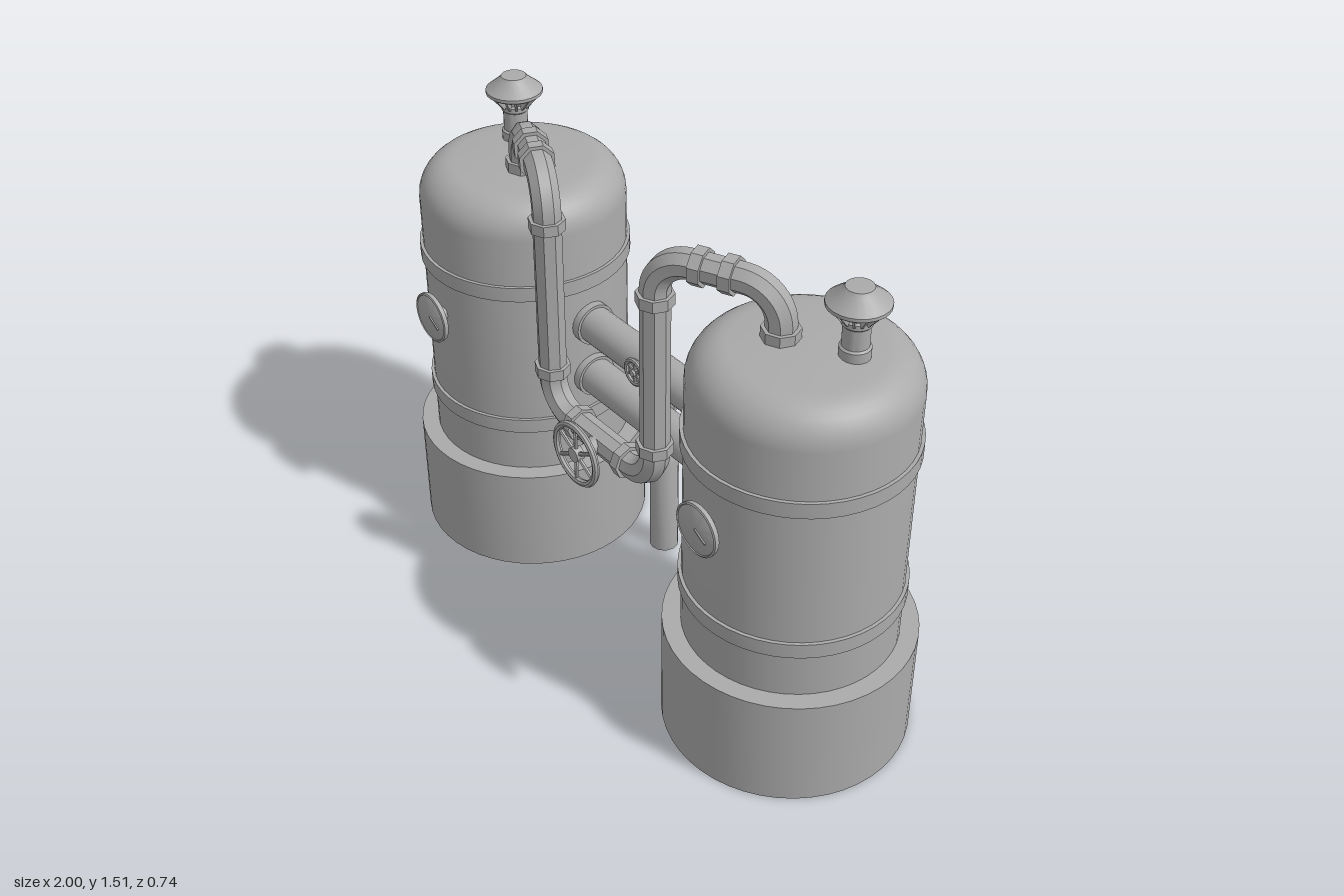
import * as THREE from 'three';
import { toCreasedNormals } from 'three/addons/utils/BufferGeometryUtils.js';

const V = (x, y, z) => new THREE.Vector3(x, y, z);

export function createModel() {
  const model = new THREE.Group();
  model.name = 'twinTankFilter';
  const steel = new THREE.MeshStandardMaterial({ color: 0xaaaaaa, side: THREE.DoubleSide });
  steel.name = 'grey steel';

  function add(name, geo, parent = model) {
    const mesh = new THREE.Mesh(toCreasedNormals(geo, 0.6), steel);
    mesh.name = name;
    parent.add(mesh);
    return mesh;
  }
  function lathe(name, pts, sides, parent = model) {
    return add(name, new THREE.LatheGeometry(pts.map(p => new THREE.Vector2(...p)), sides), parent);
  }
  // Straight cylinder between two points
  function rod(name, a, b, r, sides = 8, parent = model, r2 = r) {
    const dir = b.clone().sub(a);
    const mesh = add(name, new THREE.CylinderGeometry(r2, r, dir.length(), sides), parent);
    mesh.position.copy(a).add(b).multiplyScalar(0.5);
    mesh.quaternion.setFromUnitVectors(V(0, 1, 0), dir.normalize());
    return mesh;
  }
  // Octagonal pipe through corner points with rounded elbows
  function pipe(name, pts, r, bend, segs) {
    const path = new THREE.CurvePath();
    let from = pts[0];
    for (let i = 1; i < pts.length - 1; i++) {
      const c = pts[i];
      const p = c.clone().add(pts[i - 1].clone().sub(c).setLength(bend));
      const q = c.clone().add(pts[i + 1].clone().sub(c).setLength(bend));
      const k = 0.552;
      path.add(new THREE.LineCurve3(from, p));
      path.add(new THREE.CubicBezierCurve3(p, p.clone().lerp(c, k), q.clone().lerp(c, k), q));
      from = q;
    }
    path.add(new THREE.LineCurve3(from, pts[pts.length - 1]));
    return add(name, new THREE.TubeGeometry(path, segs, r, 8, false));
  }
  function collar(name, at, dir, r, w) {
    const d = dir.clone().setLength(w / 2);
    rod(name, at.clone().sub(d), at.clone().add(d), r, 8);
  }
  // Spoked hand wheel facing +z
  function wheel(name, x, y, z, r, tube, spokes) {
    const g = new THREE.Group();
    g.name = name;
    g.position.set(x, y, z);
    add('wheelRim', new THREE.TorusGeometry(r - tube, tube, 8, 28), g);
    rod('wheelHub', V(0, 0, -0.014), V(0, 0, 0.012), r * 0.22, 12, g);
    for (let i = 0; i < spokes; i++) {
      const a = i / spokes * Math.PI * 2 + Math.PI / 6;
      rod('wheelSpoke', V(0, 0, 0), V(Math.cos(a) * (r - tube), Math.sin(a) * (r - tube), 0), tube * 0.6, 6, g);
    }
    model.add(g);
  }

  for (const s of [-1, 1]) {
    const cx = s * 0.632;

    // Tank with rounded shoulder, open skirt base and two bands
    const tank = new THREE.Group();
    tank.name = s > 0 ? 'leftTank' : 'rightTank';
    tank.position.x = cx;
    model.add(tank);
    lathe('base', [[0.368, 0], [0.368, 0.36], [0.314, 0.36]], 48, tank);
    const body = [[0.314, 0.36], [0.314, 1.19]];
    for (let i = 1; i <= 8; i++) {
      const a = i / 8 * Math.PI / 2;
      body.push([0.204 + 0.11 * Math.cos(a), 1.19 + 0.108 * Math.sin(a)]);
    }
    body.push([0.1, 1.304], [0, 1.306]);
    lathe('tankBody', body, 48, tank);
    for (const y of [0.53, 1.015]) {
      lathe('band', [[0.312, y - 0.024], [0.324, y - 0.024], [0.324, y + 0.024], [0.312, y + 0.024]], 48, tank);
    }

    // Round gauge with needle
    const gauge = lathe('gauge', [[0.022, 0], [0.022, 0.02], [0.05, 0.03], [0.078, 0.036],
      [0.08, 0.042], [0.08, 0.05], [0.075, 0.053], [0.073, 0.05], [0, 0.05]], 32, tank);
    gauge.rotation.x = Math.PI / 2;
    gauge.position.set(0, 0.87, 0.31);
    const needle = add('gaugeNeedle', new THREE.BoxGeometry(0.05, 0.005, 0.004), tank);
    needle.position.set(0.018, 0.86, 0.362);
    needle.rotation.z = -0.5;

    // Roof vent with finned cap
    const vent = new THREE.Group();
    vent.name = 'vent';
    vent.position.set(s * 0.743, 0, -0.06);
    model.add(vent);
    lathe('ventStem', [[0.043, 1.295], [0.043, 1.33], [0.037, 1.335], [0.037, 1.395],
      [0.042, 1.4], [0.042, 1.415], [0.036, 1.42], [0.036, 1.46]], 20, vent);
    lathe('ventCap', [[0, 1.45], [0.08, 1.45], [0.086, 1.455], [0.086, 1.465],
      [0.045, 1.498], [0.038, 1.508], [0, 1.51]], 24, vent);
    const fin = new THREE.Shape([[0.034, 1.41], [0.045, 1.41], [0.08, 1.452], [0.034, 1.452]]
      .map(p => new THREE.Vector2(...p)));
    for (let i = 0; i < 14; i++) {
      add('ventFin', new THREE.ExtrudeGeometry(fin, { depth: 0.006, bevelEnabled: false }), vent)
        .rotation.y = i / 14 * Math.PI * 2;
    }

    // Pipe from the tank roof over and down to the valve
    const top = V(s * 0.57, 1.45, 0.035), drop = V(s * 0.243, 1.45, 0.185);
    pipe('overheadPipe', [V(top.x, 1.29, top.z), top, drop,
      V(drop.x, 0.695, drop.z), V(0, 0.695, drop.z)], 0.043, 0.105, 90);
    const up = V(0, 1, 0), across = drop.clone().sub(top);
    collar('roofFlange', V(top.x, 1.318, top.z), up, 0.054, 0.034);
    collar('upperCollar', V(drop.x, 1.318, drop.z), up, 0.054, 0.034);
    collar('lowerCollar', V(drop.x, 0.825, drop.z), up, 0.054, 0.034);
    for (const t of [0.4, 0.64]) collar('spanCollar', top.clone().lerp(drop, t), across, 0.054, 0.034);
    collar('valveCollar', V(s * 0.115, 0.695, drop.z), V(1, 0, 0), 0.054, 0.03);

    // Flanges where the cross pipes meet the tank
    for (const y of [0.675, 0.865]) {
      rod('crossFlange', V(s * 0.295, y, -0.015), V(s * 0.33, y, -0.015), 0.067, 24);
    }

    // Drain leg behind the lower cross pipe
    const lx = s * 0.163, lz = -0.178;
    pipe('drainElbow', [V(lx, 0.675, -0.03), V(lx, 0.675, lz), V(lx, 0.38, lz)], 0.034, 0.07, 36);
    collar('drainCollarTop', V(lx, 0.585, lz), up, 0.045, 0.05);
    collar('drainCollarBack', V(lx, 0.675, -0.09), V(0, 0, 1), 0.045, 0.03);
    lathe('drainLeg', [[0, 0], [0.047, 0], [0.047, 0.365], [0.034, 0.4]], 12)
      .position.set(lx, 0, lz);
  }

  // Cross pipes between the tanks
  for (const y of [0.675, 0.865]) {
    rod('crossPipe', V(-0.33, y, -0.015), V(0.33, y, -0.015), 0.058, 24);
  }

  // Main valve wheel and small valve knob
  rod('valveStem', V(0, 0.695, 0.19), V(0, 0.695, 0.285), 0.018, 12);
  rod('valveBonnet', V(0, 0.695, 0.2), V(0, 0.695, 0.245), 0.035, 12, model, 0.022);
  wheel('handWheel', 0, 0.695, 0.283, 0.106, 0.011, 6);
  rod('knobStem', V(0, 0.888, 0.02), V(0, 0.888, 0.07), 0.014, 12);
  rod('knobDisc', V(0, 0.888, 0.055), V(0, 0.888, 0.063), 0.04, 20);
  wheel('knobWheel', 0, 0.888, 0.066, 0.046, 0.008, 6);

  return model;
}
